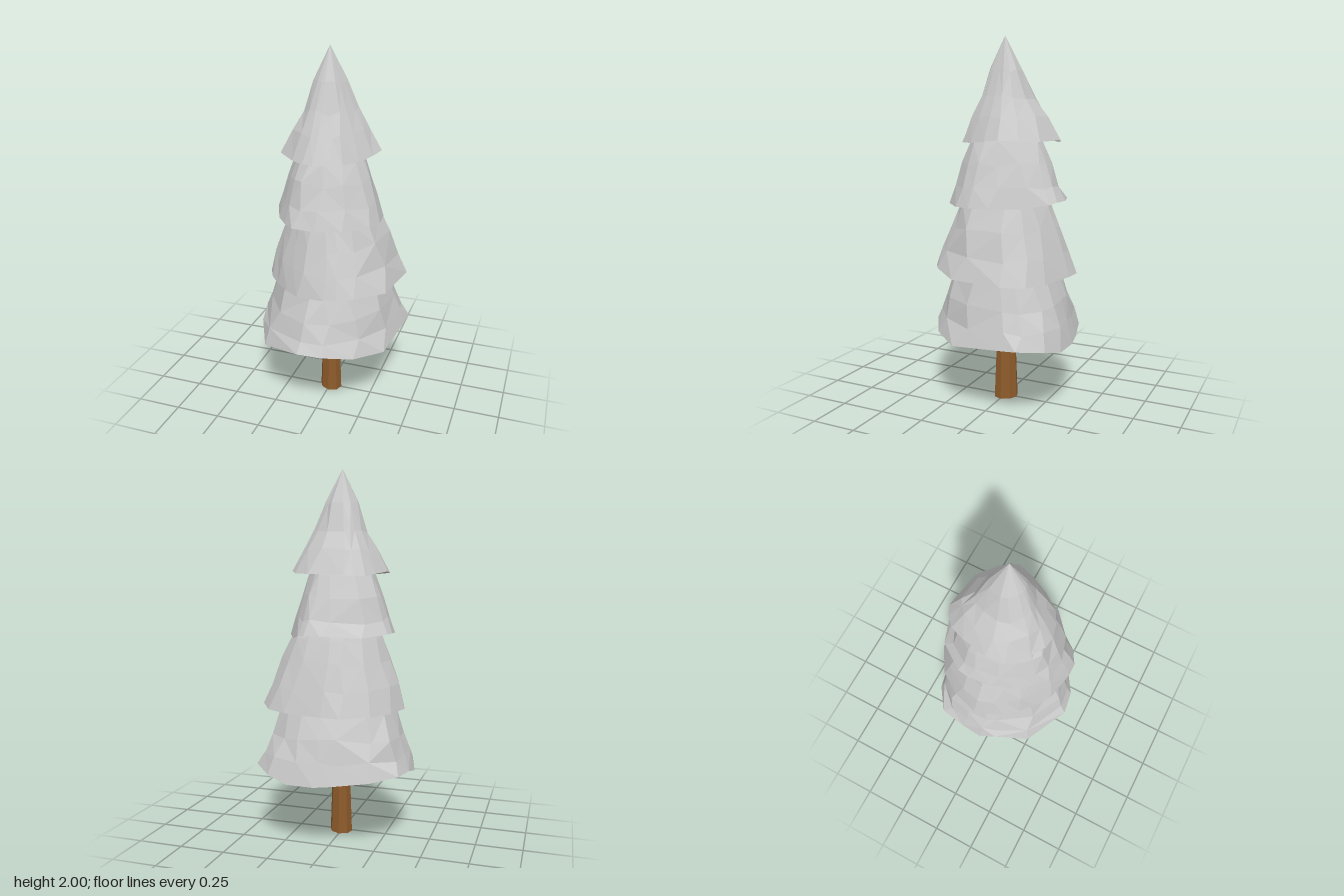
import * as THREE from 'three';

// Rim outlines as [x, z, optional height offset], counter-clockwise seen from above
const bottomRim = [
  [-0.41, 0.01, -0.02], [-0.38, 0.1, 0.03], [-0.29, 0.28, -0.02], [-0.05, 0.41, 0.04],
  [0.08, 0.39, 0.03], [0.23, 0.3, 0], [0.36, 0.14, -0.02], [0.4, -0.15, 0.01],
  [0.41, -0.25, 0.02], [0.3, -0.365, 0], [0.18, -0.405, -0.03], [0.03, -0.41, -0.03],
  [-0.07, -0.395, -0.02], [-0.25, -0.35, 0], [-0.38, -0.26, 0.02], [-0.405, -0.11, 0.01],
];
const lowerRim = [
  [-0.36, -0.04], [-0.34, 0.04], [-0.3, 0.12], [-0.24, 0.19], [-0.16, 0.26], [-0.08, 0.315],
  [0.08, 0.35, 0.02], [0.15, 0.35, 0.03], [0.23, 0.3, 0.03], [0.36, 0.14, 0.01], [0.405, -0.16, 0.01],
  [0.33, -0.27], [0.22, -0.33], [0, -0.38], [-0.1, -0.385], [-0.24, -0.3], [-0.32, -0.18],
];
const upperRim = [
  [-0.3, -0.09, 0.03], [-0.285, 0.04, 0.02], [-0.23, 0.165], [-0.17, 0.24], [-0.11, 0.295],
  [0.02, 0.305], [0.15, 0.265], [0.27, 0.16], [0.3, 0.07], [0.29, -0.04], [0.21, -0.2],
  [0.145, -0.315, 0.02], [0.1, -0.345, 0.03], [0.01, -0.355, 0.03], [-0.19, -0.29, 0.02], [-0.29, -0.15, 0.03],
];
const topRim = [
  [-0.25, 0, 0.02], [-0.24, 0.1, 0.01], [-0.14, 0.19], [-0.07, 0.235], [-0.01, 0.245],
  [0.07, 0.225], [0.13, 0.19], [0.19, 0.11], [0.235, 0.01, 0.01], [0.26, -0.08, 0.02],
  [0.21, -0.17, 0.01], [0.11, -0.25, 0.01], [-0.095, -0.285, 0.01], [-0.14, -0.265], [-0.19, -0.22], [-0.22, -0.14, 0.01],
];

// Tiers: rim height, then [height, share of rim size] rings from top to bottom
const tiers = [
  { name: 'bottomFoliage', rim: bottomRim, y: 0.4, rings: [[0.8, 0.66], [0.72, 0.74], [0.6, 0.85], [0.49, 0.93]], under: [0.075, 0.66] },
  { name: 'lowerFoliage', rim: lowerRim, y: 0.73, rings: [[1.2, 0.55], [1.11, 0.65], [0.99, 0.77], [0.86, 0.9]], under: [0.06, 0.62] },
  { name: 'upperFoliage', rim: upperRim, y: 1.11, rings: [[1.54, 0.5], [1.44, 0.63], [1.33, 0.77], [1.21, 0.9]], under: [0.07, 0.62] },
  { name: 'topFoliage', rim: topRim, y: 1.44, rings: [[2, 0], [1.82, 0.33], [1.68, 0.55], [1.57, 0.77]], under: [0.06, 0.58] },
];

function seeded(seed) {
  return () => {
    seed = (seed * 16807) % 2147483647;
    return seed / 2147483647;
  };
}

// Skirt of facets: uneven rings that get slightly rounder upwards, the rim, an inward underside and its flat ceiling
function foliageGeometry({ rim, y, rings, under }, seed) {
  const rand = seeded(seed);
  const n = rim.length;
  const jitter = (amount) => (rand() * 2 - 1) * amount;
  const meanRadius = rim.reduce((sum, [x, z]) => sum + Math.hypot(x, z), 0) / n;
  const rows = rings.map(([h, s]) => rim.map(([x0, z0], i) => {
    if (s === 0) return [0, h, 0];
    const [x1, z1] = rim[(i + 1) % n];
    const t = rand() * 0.3;
    const x = THREE.MathUtils.lerp(x0, x1, t), z = THREE.MathUtils.lerp(z0, z1, t);
    const round = (1 - s) * 0.35;
    const k = s * (1 - round + round * meanRadius / Math.hypot(x, z)) * (1 + jitter(0.015));
    return [x * k, h + jitter(0.015), z * k];
  }));
  rows.push(rim.map(([x, z, dy = 0]) => [x, y + dy, z]));
  rows.push(rim.map(([x, z]) => [x * under[1], y + under[0], z * under[1]]));
  rows.push(rim.map(() => [0, y + under[0], 0]));

  const pos = [];
  const dist = (a, b) => Math.hypot(a[0] - b[0], a[1] - b[1], a[2] - b[2]);
  const tri = (a, b, c) => {
    if (dist(a, b) && dist(b, c) && dist(a, c)) pos.push(...a, ...b, ...c);
  };
  for (let r = 0; r < rows.length - 1; r++) {
    for (let i = 0; i < n; i++) {
      const j = (i + 1) % n;
      const a = rows[r + 1][i], b = rows[r + 1][j], c = rows[r][j], d = rows[r][i];
      // Split each quad along its shorter diagonal
      if (dist(a, c) < dist(b, d)) {
        tri(a, b, c);
        tri(a, c, d);
      } else {
        tri(a, b, d);
        tri(b, c, d);
      }
    }
  }
  const geometry = new THREE.BufferGeometry();
  geometry.setAttribute('position', new THREE.Float32BufferAttribute(pos, 3));
  geometry.computeVertexNormals();
  return geometry;
}

export function createModel() {
  const tree = new THREE.Group();
  tree.name = 'tree';

  // Foliage tiers
  const foliage = new THREE.MeshStandardMaterial({ color: 0xcccccc, flatShading: true });
  tiers.forEach((tier, i) => {
    const mesh = new THREE.Mesh(foliageGeometry(tier, 41 + i * 977), foliage);
    mesh.name = tier.name;
    tree.add(mesh);
  });

  // Tapered trunk, slightly oval along one diagonal
  const bark = new THREE.MeshStandardMaterial({ color: 0x8f5c2c, flatShading: true });
  const trunk = new THREE.Mesh(new THREE.CylinderGeometry(0.043, 0.06, 0.5, 8).scale(1.15, 1, 1), bark);
  trunk.name = 'trunk';
  trunk.rotation.y = -Math.PI / 4;
  trunk.position.set(0.005, 0.25, -0.009);
  tree.add(trunk);

  return tree;
}
